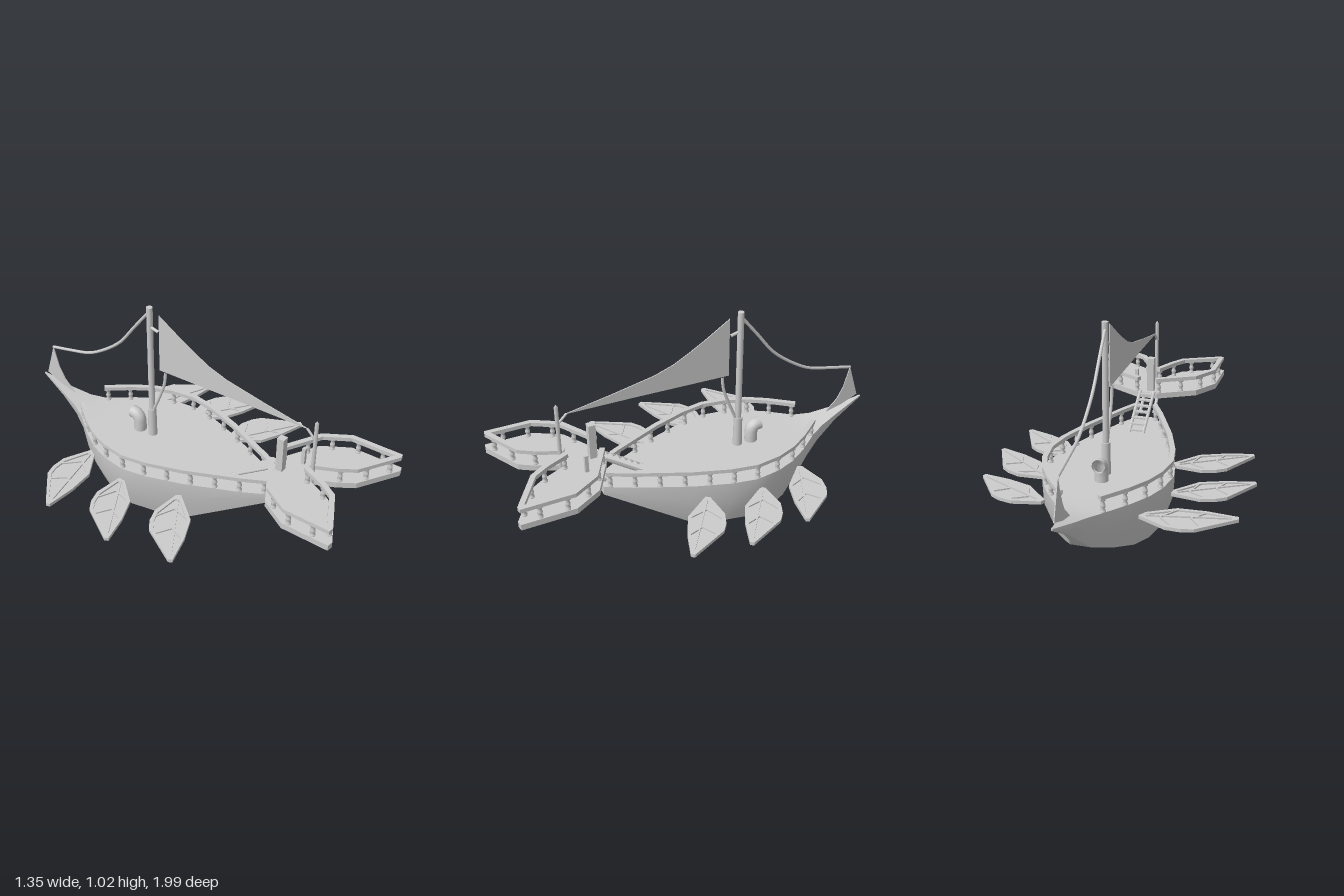
import * as THREE from 'three';
import { toCreasedNormals } from 'three/addons/utils/BufferGeometryUtils.js';

const CX = 0.012; // centreline of the ship
const V2 = (x, y) => new THREE.Vector2(x, y);
const V3 = (x, y, z) => new THREE.Vector3(x, y, z);

export function createModel() {
  const root = new THREE.Group();
  const mat = new THREE.MeshStandardMaterial({ color: 0xcccccc });
  const flat = new THREE.MeshStandardMaterial({ color: 0xcccccc, flatShading: true });
  const thin = new THREE.MeshStandardMaterial({ color: 0xcccccc, side: THREE.DoubleSide });

  const add = (name, geo, m = mat, parent = root) => {
    const mesh = new THREE.Mesh(geo, m);
    mesh.name = name;
    parent.add(mesh);
    return mesh;
  };
  // Plan outline of [x, z] points raised from y by h
  const slab = (pts, y, h, hole) => {
    const shape = new THREE.Shape(pts.map(([x, z]) => V2(x, -z)));
    if (hole) shape.holes.push(new THREE.Path(hole.map(([x, z]) => V2(x, -z))));
    return new THREE.ExtrudeGeometry(shape, { depth: h, bevelEnabled: false }).rotateX(-Math.PI / 2).translate(0, y, 0);
  };
  // Open path moved sideways by d with mitred corners
  const offset = (pts, d) => pts.map((p, i) => {
    const normal = (a, b) => V2(-(b[1] - a[1]), b[0] - a[0]).normalize();
    const n1 = normal(pts[Math.max(i - 1, 0)], pts[Math.max(i, 1)]);
    const n2 = i < pts.length - 1 ? normal(p, pts[i + 1]) : n1;
    const n = n1.clone().add(n2).normalize();
    const k = d / Math.max(n.dot(n1), 0.6);
    return [p[0] + n.x * k, p[1] + n.y * k];
  });
  const side = (pts, s) => pts.map(([x, z]) => [CX + s * x, z]);
  const rod = (name, a, b, r, parent = root) =>
    add(name, new THREE.TubeGeometry(new THREE.LineCurve3(a, b), 1, r, 8), mat, parent);
  const rope = (name, pts, r) => add(name, new THREE.TubeGeometry(
    new THREE.CatmullRomCurve3(pts.map(([y, z]) => V3(CX, y, z))), 20, r, 8));
  const box = (name, w, h, d, x, y, z) => add(name, new THREE.BoxGeometry(w, h, d).translate(x, y, z));

  // Hull: z, deck half-width, deck y, bottom half-width, bottom y
  const stations = [
    [0.5, 0.05, 0.27, 0.045, 0.22], [0.37, 0.12, 0.27, 0.105, 0.16], [0.11, 0.235, 0.27, 0.19, 0.02],
    [-0.07, 0.295, 0.27, 0.235, 0], [-0.2, 0.318, 0.27, 0.26, 0], [-0.33, 0.3, 0.27, 0.235, 0],
    [-0.43, 0.262, 0.27, 0.19, 0.007], [-0.53, 0.2, 0.27, 0.12, 0.035], [-0.65, 0.105, 0.27, 0.05, 0.09],
    [-0.73, 0.065, 0.283, 0.025, 0.16], [-0.84, 0.035, 0.31, 0.012, 0.25], [-1, 0.004, 0.36, 0.002, 0.35],
  ];
  const verts = [], faces = [], N = 6;
  stations.forEach(([z, w, ty, b, by], i) => {
    const my = by + (ty - by) * 0.58, mw = b + (w - b) * 0.92;
    [[-w, ty], [-mw, my], [-b, by], [b, by], [mw, my], [w, ty]].forEach(([x, y]) => verts.push(CX + x, y, z));
    if (i === stations.length - 1) return;
    for (let j = 0; j < N; j++) {
      const a = i * N + j, d = i * N + (j + 1) % N;
      faces.push(a, a + N, d + N, a, d + N, d);
    }
  });
  for (let j = 1; j < N - 1; j++) {
    const e = (stations.length - 1) * N;
    faces.push(0, j, j + 1, e, e + j + 1, e + j);
  }
  const hull = new THREE.BufferGeometry();
  hull.setAttribute('position', new THREE.Float32BufferAttribute(verts, 3));
  hull.setIndex(faces);
  add('hull', toCreasedNormals(hull, 0.5));

  // Turned balusters under a flat handrail
  const railing = (name, pts, floor, height) => {
    const g = new THREE.Group();
    g.name = name;
    root.add(g);
    const rail = [...offset(pts, 0.013), ...offset(pts, -0.013).reverse()];
    add('handrail', slab(rail, floor + height - 0.02, 0.02), mat, g);
    const h = height - 0.02;
    const profile = [[0.014, 0], [0.014, 0.12], [0.008, 0.2], [0.013, 0.42], [0.012, 0.55], [0.007, 0.78], [0.014, 0.88], [0.014, 1]]
      .map(([r, t]) => V2(r, t * h));
    const post = new THREE.LatheGeometry(profile, 8);
    const path = new THREE.CurvePath();
    for (let i = 1; i < pts.length; i++) path.add(new THREE.LineCurve(V2(...pts[i - 1]), V2(...pts[i])));
    const n = Math.round(path.getLength() / 0.125);
    for (let i = 0; i <= n; i++) {
      const p = path.getPointAt(0.015 + 0.97 * i / n);
      add('baluster', post, mat, g).position.set(p.x, floor, p.y);
    }
  };

  const deckEdge = [[0.045, 0.485], ...stations.slice(1, 9).map(([z, w]) => [w - 0.015, z])];
  for (const s of [1, -1]) {
    railing('deckRailing', side(deckEdge, s), 0.27, 0.085);

    // Tail platform, one fluke per side
    const tip = s > 0 ? 0.992 : 0.968;
    const fluke = [[0, 0.48], [0.055, 0.48], [0.25, 0.59], [0.33, 0.725], [0.333, tip - 0.005], [0.305, tip],
      [0.105, 0.868], [0.055, 0.79], [0, 0.67]];
    add('tailPlatform', slab(side(fluke, s), 0.39, 0.03));
    railing('tailRailing', side(offset(fluke.slice(1), 0.017), s), 0.42, 0.08);
  }

  // Side fins: side, root x, root z, length, sweep angle
  const fin = [[0, 0.012], [0.112, 0.1], [0.18, 0.116], [0.235, 0.113], [0.42, 0.01], [0.42, -0.01], [0.286, -0.05], [0.161, -0.068], [0, -0.012]];
  const makeFin = (s, x, z, len, angle) => {
    const k = len / 0.42, g = new THREE.Group();
    g.name = 'fin';
    g.position.set(x, s > 0 ? 0.188 : 0.178, z);
    g.rotation.y = -s * angle;
    root.add(g);
    const outer = fin.map(([u, v]) => [s * u * k, -v * k]);
    const inner = fin.map(([u, v]) => [s * (0.21 + (u - 0.21) * 0.86) * k, -(0.02 + (v - 0.02) * 0.8) * k]);
    add('finFrame', slab(outer, 0, 0.017, inner), mat, g);
    add('finPanel', slab(outer, 0.001, 0.008), mat, g);
    // Spine and cross ribs
    [[0.02, 0, 0.41, 0], [0.09, 0.01, 0.15, 0.1], [0.09, 0.01, 0.16, -0.055], [0.22, 0.01, 0.26, 0.088], [0.22, 0.01, 0.286, -0.04]]
      .forEach(([u1, v1, u2, v2]) => {
        const path = [[s * u1 * k, -v1 * k], [s * u2 * k, -v2 * k]];
        add('finRib', slab([...offset(path, 0.004), ...offset(path, -0.004).reverse()], 0.004, 0.012), mat, g);
      });
  };
  [[1, 0.25, -0.49, 0.42, 0.45], [1, 0.325, -0.235, 0.42, 0.63], [1, 0.275, 0.045, 0.425, 0.62],
    [-1, -0.21, -0.475, 0.455, 0.2], [-1, -0.295, -0.215, 0.435, 0.52], [-1, -0.23, 0.095, 0.445, 0.55]]
    .forEach((f) => makeFin(...f));

  // Mast with thicker foot
  add('mast', new THREE.CylinderGeometry(0.016, 0.016, 0.755, 12).translate(CX + 0.003, 0.6475, -0.253));
  add('mastFoot', new THREE.CylinderGeometry(0.022, 0.024, 0.165, 12).translate(CX + 0.003, 0.35, -0.253));

  // Sails, flat on the centreline, as [z, y] outlines
  const sail = (name, pts) => {
    const shape = new THREE.Shape(pts.map(([z, y]) => V2(-z, y)));
    const geo = new THREE.ExtrudeGeometry(shape, { depth: 0.005, bevelEnabled: false });
    add(name, geo.rotateY(Math.PI / 2).translate(CX - 0.0025, 0, 0), thin);
  };
  sail('mainSail', [[0.65, 0.703], [0.42, 0.745], [0.2, 0.79], [0.1, 0.825], [0.015, 0.87], [-0.07, 0.92], [-0.195, 1], [-0.195, 0.69], [0.32, 0.7]]);
  sail('bowSail', [[-0.917, 0.555], [-0.975, 0.375], [-0.88, 0.335], [-0.785, 0.313], [-0.85, 0.375], [-0.885, 0.44]]);

  // Rigging, as [y, z] points
  rope('bowStay', [[0.99, -0.262], [0.88, -0.35], [0.76, -0.445], [0.67, -0.56], [0.615, -0.66], [0.585, -0.78], [0.556, -0.917]], 0.008);
  rope('sheetRope', [[0.69, -0.16], [0.62, -0.168], [0.54, -0.195], [0.43, -0.24]], 0.008);
  rope('sailTie', [[0.907, -0.2], [0.92, -0.25]], 0.008);
  rope('tailTie', [[0.665, 0.68], [0.705, 0.64]], 0.006);

  // Pole on the tail platform
  const pole = [[0, 0.35], [0.01, 0.365], [0.01, 0.75], [0, 0.765]].map(([r, y]) => V2(r, y));
  add('tailPole', new THREE.LatheGeometry(pole, 8).translate(CX, 0, 0.688));
  box('tallPost', 0.036, 0.21, 0.036, CX - 0.012, 0.5, 0.525);
  box('shortPost', 0.018, 0.1, 0.018, 0.1, 0.46, 0.592);

  // Stairs from the deck up to the tail platform
  for (const s of [1, -1]) {
    rod('stairStringer', V3(CX + s * 0.038, 0.27, 0.265), V3(CX + s * 0.038, 0.425, 0.485), 0.009);
    rod('platformStrut', V3(CX + s * 0.038, 0.3, 0.485), V3(CX + s * 0.038, 0.395, 0.59), 0.009);
  }
  for (let i = 0; i < 7; i++) {
    const t = (i + 0.5) / 7;
    box('stairTread', 0.08, 0.008, 0.026, CX, 0.27 + 0.155 * t, 0.265 + 0.22 * t);
  }

  // Cowl vent bent toward the bow
  const vent = new THREE.CatmullRomCurve3([[0.265, -0.333], [0.31, -0.333], [0.342, -0.338], [0.358, -0.355], [0.361, -0.382]]
    .map(([y, z]) => V3(CX, y, z)));
  add('vent', new THREE.TubeGeometry(vent, 14, 0.033, 14), thin);
  return root;
}
